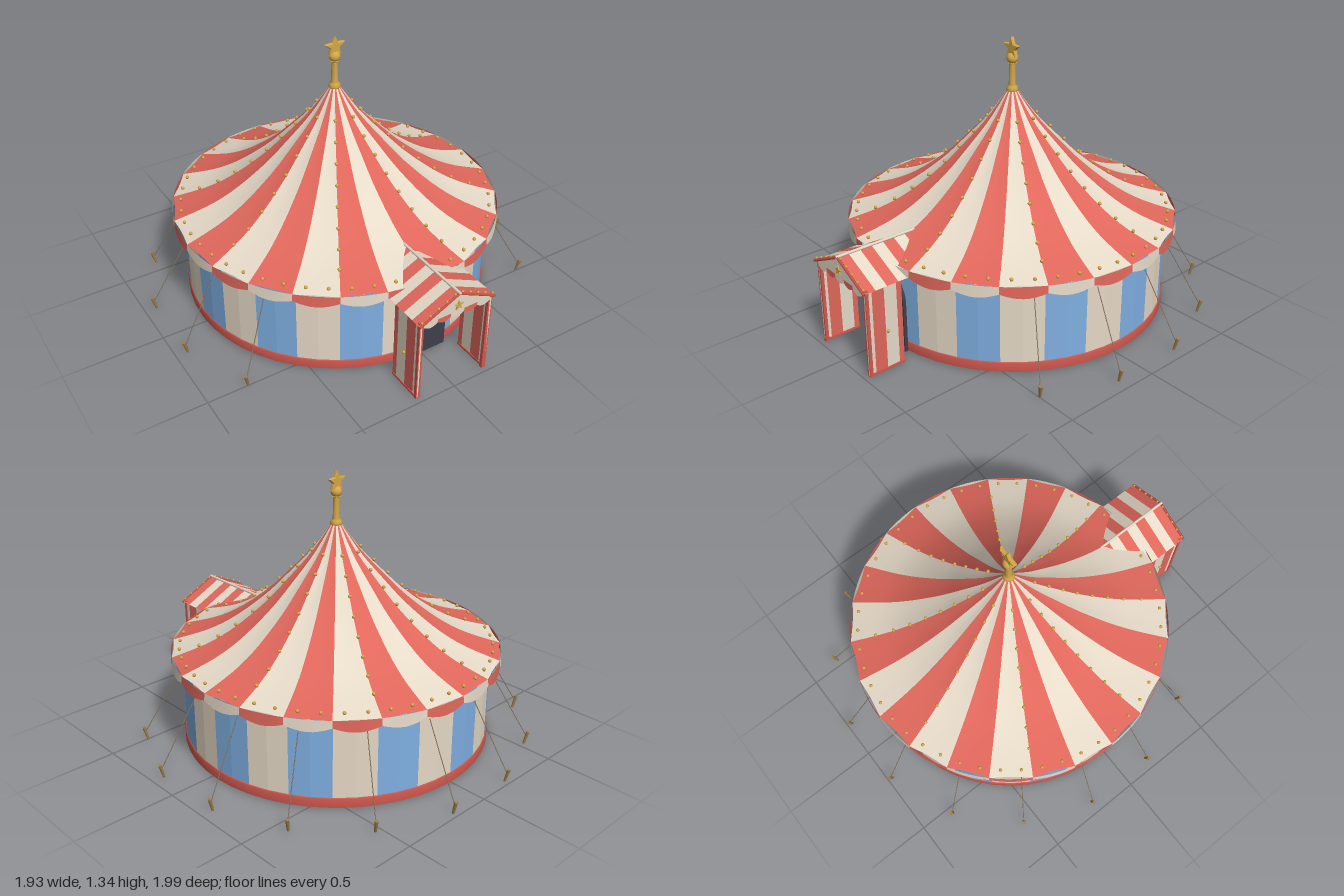
import * as THREE from 'three';
import { mergeGeometries } from 'three/addons/utils/BufferGeometryUtils.js';

const DS = THREE.DoubleSide;
const makeMat = (name, color, side = THREE.FrontSide, flatShading = false) =>
  Object.assign(new THREE.MeshStandardMaterial({ color, side, flatShading }), { name });

export function createModel() {
  const model = new THREE.Group();
  model.name = 'circusTent';
  const red = makeMat('red canvas', 0xe0675b, DS);
  const cream = makeMat('cream canvas', 0xe6dac8, DS);
  const blue = makeMat('blue canvas', 0x7fafe2, DS, true);
  const creamWall = makeMat('cream wall canvas', 0xe6d9c6, DS, true);
  const trim = makeMat('red trim', 0xd0594f, DS);
  const dark = makeMat('dark doorway', 0x3f3f4b, DS);
  const gold = makeMat('gold', 0xd4a848);
  const wood = makeMat('stake wood', 0x9c7c48);
  const rope = makeMat('rope', 0x877760);

  const add = (parent, name, geo, mat, x = 0, y = 0, z = 0) => {
    const m = new THREE.Mesh(geo, mat);
    m.name = name;
    m.position.set(x, y, z);
    parent.add(m);
    return m;
  };
  const polar = (r, phi, y) => new THREE.Vector3(r * Math.sin(phi), y, r * Math.cos(phi));
  // thin rod between two points
  const rod = (parent, name, a, b, r0, r1, mat, sides = 6) => {
    const m = add(parent, name, new THREE.CylinderGeometry(r1, r0, a.distanceTo(b), sides), mat);
    m.position.copy(a).add(b).multiplyScalar(0.5);
    m.quaternion.setFromUnitVectors(new THREE.Vector3(0, 1, 0), b.clone().sub(a).normalize());
    return m;
  };
  // patch of cloth: fn maps u,v in 0..1 to a point
  const sheet = (nu, nv, fn) => {
    const g = new THREE.PlaneGeometry(1, 1, nu, nv);
    const p = g.attributes.position;
    for (let i = 0; i < p.count; i++) {
      const q = fn(p.getX(i) + 0.5, p.getY(i) + 0.5);
      p.setXYZ(i, q.x, q.y, q.z);
    }
    g.computeVertexNormals();
    return g;
  };
  const starShape = (R) => {
    const pts = [];
    for (let i = 0; i < 10; i++) {
      const a = Math.PI / 2 + (i * Math.PI) / 5, r = i % 2 ? R * 0.42 : R;
      pts.push(new THREE.Vector2(r * Math.cos(a), r * Math.sin(a)));
    }
    return new THREE.Shape(pts);
  };

  // round tent, 24 stripes alternating in colour
  const tent = new THREE.Group();
  tent.name = 'roundTent';
  tent.position.z = -0.035;
  model.add(tent);
  const N = 24, step = (Math.PI * 2) / N;
  const striped = (name, nu, nv, mats, fn) => {
    for (const c of [0, 1]) {
      const parts = [];
      for (let k = c; k < N; k += 2) {
        parts.push(sheet(nu, nv, (u, v) => fn(u, v, (k + u) * step)));
      }
      add(tent, name + (c ? 'OddStripes' : 'EvenStripes'), mergeGeometries(parts), mats[c]);
    }
  };
  const profile = new THREE.SplineCurve([
    [0.816, 0.465], [0.64, 0.522], [0.5, 0.597], [0.35, 0.712], [0.24, 0.82], [0.12, 0.948], [0.022, 1.085],
  ].map((p) => new THREE.Vector2(...p)));
  striped('roof', 6, 20, [red, cream], (u, v, phi) => {
    const p = profile.getPoint(v), s = Math.sin(Math.PI * u);
    return polar(p.x - 0.012 * s * (1 - v) ** 6, phi, p.y - 0.006 * s * Math.sin(Math.PI * v));
  });
  striped('valance', 8, 1, [cream, red], (u, v, phi) =>
    polar(0.819 - 0.003 * v, phi, v > 0.5 ? 0.468 : 0.432 - 0.022 * Math.sin(Math.PI * u)));
  striped('wall', 2, 1, [blue, creamWall], (u, v, phi) => polar(0.764, phi, v * 0.466));
  add(tent, 'baseBand', new THREE.LatheGeometry([
    [0.766, 0], [0.771, 0.002], [0.771, 0.046], [0.765, 0.05],
  ].map((p) => new THREE.Vector2(...p)), 48), trim);

  // flat ceiling in rings, facing down
  const rings = [0, 0.1, 0.17, 0.27, 0.34, 0.44, 0.51, 0.61, 0.68, 0.803];
  for (let i = 0; i < rings.length - 1; i++) {
    add(tent, 'ceilingRing', new THREE.RingGeometry(rings[i], rings[i + 1], 48), i % 2 ? red : cream, 0, 0.463, 0)
      .rotation.x = Math.PI / 2;
  }

  // bulbs round the rim and up eight roof seams
  const bulbGeo = new THREE.SphereGeometry(0.0088, 8, 6);
  const smallBulbGeo = new THREE.SphereGeometry(0.0065, 8, 6);
  const bulb = (parent, p, geo = bulbGeo) => add(parent, 'bulb', geo, gold, p.x, p.y, p.z);
  for (let i = 0; i < 48; i++) bulb(tent, polar(0.775, (i + 0.5) * step / 2, 0.483));
  for (let j = 0; j < 8; j++) {
    for (let i = 0; i < 8; i++) {
      const p = profile.getPointAt(0.14 + i * 0.1);
      bulb(tent, polar(p.x + 0.004, step * (1 + 3 * j), p.y + 0.008));
    }
  }

  // finial with ball and star
  add(tent, 'finialPole', new THREE.LatheGeometry([
    [0.001, 1.07], [0.026, 1.07], [0.03, 1.085], [0.024, 1.1], [0.017, 1.108], [0.015, 1.21], [0.022, 1.215], [0.001, 1.22],
  ].map((p) => new THREE.Vector2(...p)), 16), gold);
  add(tent, 'finialBall', new THREE.SphereGeometry(0.028, 16, 12), gold, 0, 1.238, 0);
  add(tent, 'finialStar', new THREE.ExtrudeGeometry(starShape(0.051), {
    depth: 0.012, bevelThickness: 0.004, bevelSize: 0.003, bevelSegments: 1,
  }), gold, 0, 1.287, -0.006);

  // guy ropes and stakes, none in front of the entrance
  for (let i = 2; i < 14; i++) {
    const a = (i + 0.5) * Math.PI / 8;
    rod(tent, 'guyRope', polar(0.962, a, 0.052), polar(0.766, a, 0.385), 0.0022, 0.0022, rope);
    rod(tent, 'stake', polar(0.957, a, 0), polar(0.974, a, 0.066), 0.006, 0.009, wood, 8);
  }

  // arched doorway, set through the curved wall
  const arch = new THREE.Shape();
  arch.moveTo(-0.135, 0);
  arch.lineTo(0.135, 0);
  arch.lineTo(0.135, 0.255);
  arch.absarc(0, 0.255, 0.135, 0, Math.PI);
  arch.closePath();
  add(model, 'doorway', new THREE.ExtrudeGeometry(arch, { depth: 0.017, bevelEnabled: false, curveSegments: 20 }),
    dark, 0, 0, 0.7238);

  // entrance porch
  const porch = new THREE.Group();
  porch.name = 'porch';
  model.add(porch);
  const V = (x, y, z) => new THREE.Vector3(x, y, z);
  const peak = 0.53, eave = 0.432, half = 0.205, front = 0.985;
  for (const s of [-1, 1]) {
    // sloped roof in seven stripes
    for (let i = 0; i < 7; i++) {
      const z0 = front - i * 0.06;
      add(porch, 'porchRoofStripe', sheet(1, 1, (u, v) => {
        const t = s > 0 ? u : 1 - u;
        return V(s * half * t, peak + (eave - peak) * t, z0 - 0.06 * v);
      }), i % 2 ? cream : red);
    }
    // side walls, ending short of the tent wall
    [[0.975, 0.94], [0.94, 0.877], [0.877, 0.812], [0.812, 0.785]].forEach(([a, b], i) =>
      add(porch, 'porchWallStripe', new THREE.BoxGeometry(0.008, 0.432, a - b), i % 2 ? red : cream,
        s * 0.19, 0.218, (a + b) / 2));
    add(porch, 'porchPost', new THREE.BoxGeometry(0.022, 0.44, 0.016), trim, s * 0.188, 0.22, 0.967);
    add(porch, 'porchFootRail', new THREE.BoxGeometry(0.014, 0.012, 0.19), trim, s * 0.19, 0.006, 0.88);
    add(porch, 'tieKnob', bulbGeo, gold, s * 0.198, 0.2, 0.868);
    // gable boards and bulbs
    rod(porch, 'gableBoard', V(s * half, eave, front), V(0, peak + 0.002, front), 0.007, 0.007, trim, 4);
    for (let i = 0; i < 5; i++) {
      const t = 0.1 + i * 0.21;
      bulb(porch, V(s * half * t, peak + (eave - peak) * t + 0.01, front - 0.006), smallBulbGeo);
    }
  }
  rod(porch, 'ridgePole', V(0, peak + 0.003, 0.57), V(0, peak + 0.003, front + 0.006), 0.007, 0.007, cream, 8);

  // gable with scalloped hem and star
  const gable = new THREE.Shape([[-0.19, eave], [0.19, eave], [0.19, 0.439], [0, peak], [-0.19, 0.439]]
    .map((p) => new THREE.Vector2(...p)));
  add(porch, 'gable', new THREE.ShapeGeometry(gable), cream, 0, 0, 0.98);
  for (let i = 0; i < 5; i++) {
    add(porch, 'gableScallop', sheet(8, 1, (u, v) =>
      V(-0.18 + (i + u) * 0.072, v > 0.5 ? eave : 0.415 - 0.014 * Math.sin(Math.PI * u), 0.98)), i % 2 ? red : cream);
  }
  add(porch, 'gableStar', new THREE.ExtrudeGeometry(starShape(0.026), { depth: 0.006, bevelEnabled: false }),
    gold, 0, 0.466, 0.981);
  return model;
}
